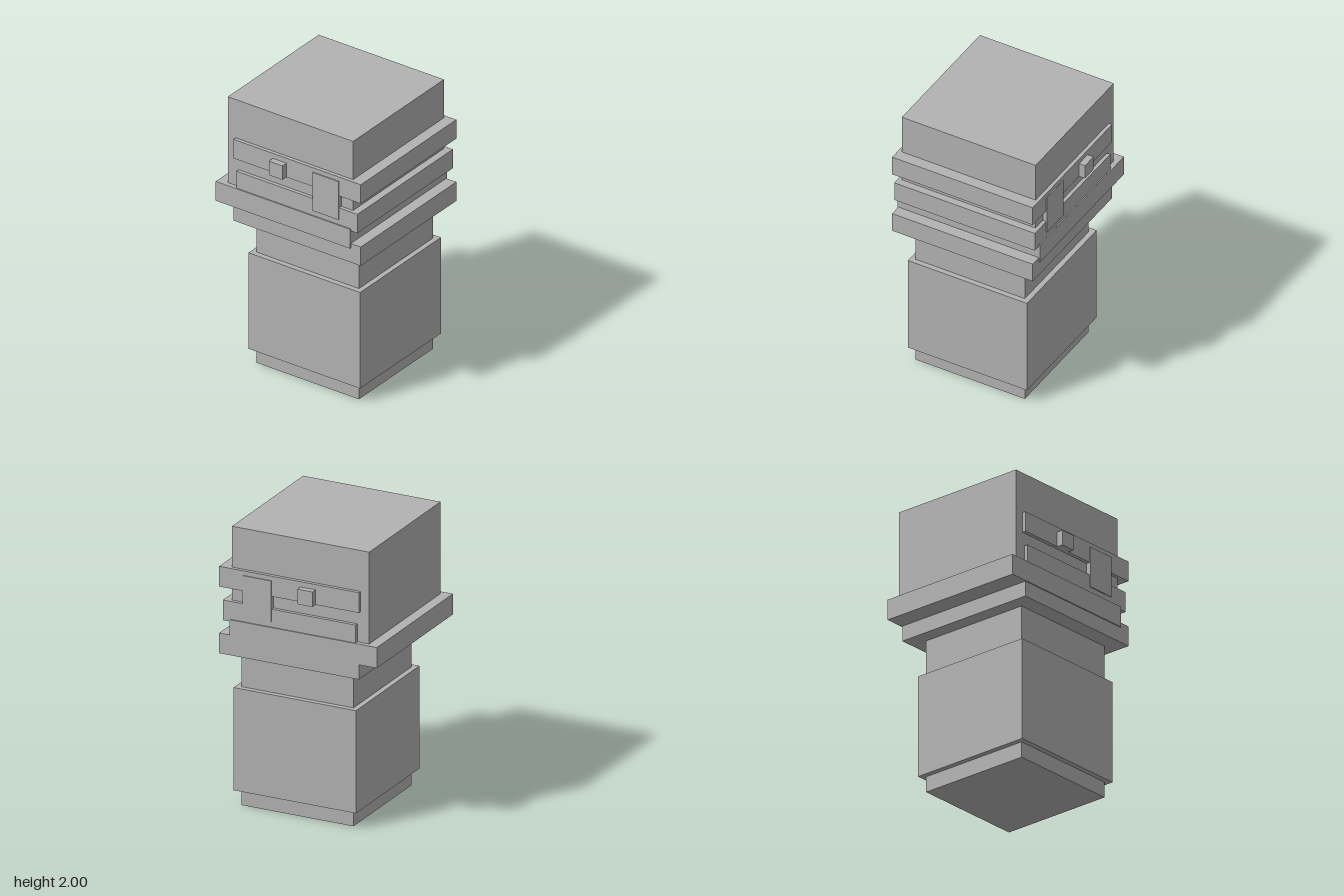
import * as THREE from 'three';

export function createModel() {
  const model = new THREE.Group();
  const grey = new THREE.MeshStandardMaterial({ color: 0xb2b2b2 });
  grey.name = 'grey';

  // Box given by its extents along each axis
  function block(name, [x0, x1], [y0, y1], [z0, z1]) {
    const mesh = new THREE.Mesh(new THREE.BoxGeometry(x1 - x0, y1 - y0, z1 - z0), grey);
    mesh.name = name;
    mesh.position.set((x0 + x1) / 2, (y0 + y1) / 2, (z0 + z1) / 2);
    model.add(mesh);
  }
  const both = (z) => [-z, z];

  // Lower body: foot, wide torso and neck
  block('foot', [-0.348, 0.483], [0, 0.111], both(0.416));
  block('torso', [-0.386, 0.52], [0.111, 0.837], both(0.454));
  block('neck', [-0.348, 0.483], [0.837, 1.097], both(0.416));

  // Head resting on the brim
  block('head', [-0.513, 0.504], [1.351, 2], both(0.51));

  // Staggered bands wrapped round the head
  block('collarBand', [-0.449, 0.585], [1.097, 1.24], both(0.536));
  block('brimBand', [-0.587, 0.504], [1.205, 1.351], both(0.544));
  block('middleBand', [-0.425, 0.557], [1.335, 1.478], both(0.536));
  block('upperBand', [-0.449, 0.585], [1.568, 1.711], both(0.536));

  // Small peg and flat plate, repeated on the front and the back
  block('peg', [-0.129, -0.018], [1.568, 1.674], both(0.581));
  block('plate', [0.197, 0.409], [1.39, 1.679], both(0.543));

  return model;
}
